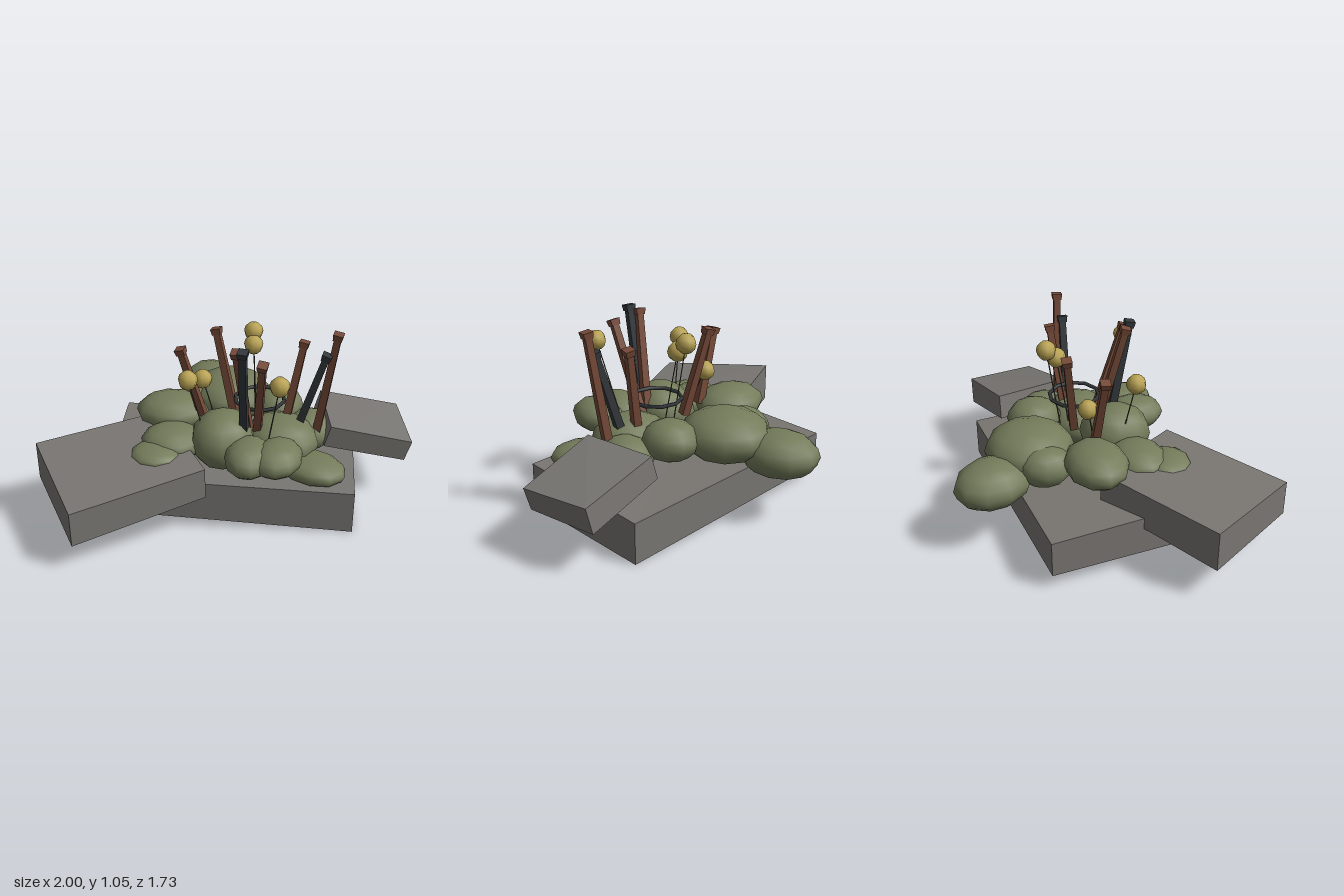
import * as THREE from 'three';

const mat = (name, color) => {
  const m = new THREE.MeshStandardMaterial({ color });
  m.name = name;
  return m;
};

export function createModel() {
  const group = new THREE.Group();
  const stone = mat('stone grey', 0x797672);
  const moss = mat('moss green', 0x747c5b);
  const rust = mat('rusty brown', 0x754a38);
  const iron = mat('dark iron', 0x33383b);
  const yellow = mat('flower yellow', 0xb9a353);
  const stalk = mat('stem green', 0x4a4f38);

  const add = (name, geo, material, parent = group) => {
    const m = new THREE.Mesh(geo, material);
    m.name = name;
    parent.add(m);
    return m;
  };
  const V = (p) => new THREE.Vector3(...p);
  // Stand an object that runs along +y between two points
  const aim = (obj, from, to) => {
    obj.position.copy(V(from));
    obj.quaternion.setFromUnitVectors(new THREE.Vector3(0, 1, 0), V(to).sub(V(from)).normalize());
  };

  // Rough slabs: a box whose corners move to [x, z, bottom y, top y]
  // in the order back left, back right, front right, front left
  const slab = (name, corners, bottomShiftX = 0) => {
    const geo = new THREE.BoxGeometry(1, 1, 1).toNonIndexed();
    const p = geo.attributes.position;
    for (let i = 0; i < p.count; i++) {
      const right = p.getX(i) > 0, top = p.getY(i) > 0, front = p.getZ(i) > 0;
      const c = corners[front ? (right ? 2 : 3) : (right ? 1 : 0)];
      p.setXYZ(i, c[0] + (top ? 0 : bottomShiftX), top ? c[3] : c[2], c[1]);
    }
    geo.computeVertexNormals();
    add(name, geo, stone);
  };
  slab('baseSlab', [[-0.76, -0.43, 0.08, 0.28], [0.6, -0.7, 0, 0.225], [0.755, 0.12, 0, 0.25], [-0.58, 0.4, 0.07, 0.295]]);
  slab('frontSlab', [[-0.43, -0.12, 0.25, 0.445], [-0.02, 0.34, 0.23, 0.41], [-0.58, 0.85, 0.16, 0.36], [-1, 0.35, 0.185, 0.41]]);
  slab('sideSlab', [[0.42, -0.56, 0.35, 0.48], [0.86, -0.7, 0.235, 0.38], [1, -0.32, 0.235, 0.36], [0.56, -0.16, 0.35, 0.48]], -0.035);

  // Moss mounds: x, y, z, radii x, y, z, turn
  const mounds = [
    [-0.29, 0.365, -0.67, 0.18, 0.125, 0.22, 0.5],
    [-0.1, 0.44, -0.45, 0.24, 0.14, 0.245, 0.3],
    [-0.27, 0.42, -0.39, 0.13, 0.11, 0.15, 0],
    [0.2, 0.45, -0.385, 0.15, 0.11, 0.155, 0.2],
    [0.41, 0.37, -0.29, 0.14, 0.11, 0.16, 0],
    [-0.36, 0.46, -0.13, 0.21, 0.105, 0.17, 0.2],
    [-0.28, 0.41, 0.11, 0.18, 0.09, 0.16, 0.3],
    [-0.33, 0.4, 0.26, 0.14, 0.055, 0.13, 0],
    [-0.01, 0.43, 0.04, 0.18, 0.165, 0.2, 0],
    [0.18, 0.43, 0.19, 0.135, 0.095, 0.17, 0.1],
    [0.33, 0.435, 0.16, 0.135, 0.09, 0.17, -0.1],
    [0.49, 0.295, -0.01, 0.2, 0.075, 0.145, -0.3],
    [0.28, 0.38, -0.12, 0.22, 0.14, 0.2, 0]
  ];
  const moundGeo = new THREE.SphereGeometry(1, 10, 8);
  const mossBed = new THREE.Group();
  mossBed.name = 'mossBed';
  group.add(mossBed);
  for (const [x, y, z, rx, ry, rz, turn] of mounds) {
    const m = add('mossMound', moundGeo, moss, mossBed);
    m.position.set(x, y, z);
    m.scale.set(rx, ry, rz);
    m.rotation.y = turn;
  }

  // Square spikes with a flared head
  const spike = (name, material, foot, tip) => {
    const g = new THREE.Group();
    g.name = name;
    const len = V(foot).distanceTo(V(tip));
    const part = (n, rTop, rBottom, h, y) => {
      const geo = new THREE.CylinderGeometry(rTop, rBottom, h, 4).toNonIndexed();
      geo.computeVertexNormals();
      geo.rotateY(Math.PI / 4);
      geo.translate(0, y, 0);
      add(n, geo, material, g);
    };
    part('shaft', 0.026, 0.032, len - 0.02, len / 2 - 0.01);
    part('head', 0.039, 0.034, 0.035, len - 0.0175);
    aim(g, foot, tip);
    group.add(g);
  };
  [
    [[-0.17, 0.48, -0.1], [-0.285, 0.895, -0.065]],
    [[-0.01, 0.48, -0.19], [-0.13, 0.96, -0.24]],
    [[0.16, 0.42, -0.06], [0.235, 0.97, 0.14]],
    [[0.13, 0.36, -0.05], [0.085, 1.015, 0.12]],
    [[0.29, 0.45, -0.2], [0.37, 0.935, -0.26]],
    [[0.47, 0.42, -0.21], [0.565, 1.04, -0.185]]
  ].forEach(([foot, tip]) => spike('rustySpike', rust, foot, tip));
  [
    [[0.11, 0.42, 0.03], [0.13, 1.035, 0.15]],
    [[0.36, 0.42, -0.17], [0.515, 0.92, -0.165]]
  ].forEach(([foot, tip]) => spike('ironSpike', iron, foot, tip));

  // Iron ring lying among the spikes
  const ring = add('ironRing', new THREE.TorusGeometry(0.14, 0.011, 5, 10), iron);
  ring.rotation.x = Math.PI / 2;
  ring.position.set(0.148, 0.6, -0.16);

  // Round flowers on thin stems
  const ball = new THREE.SphereGeometry(0.055, 7, 6);
  [
    [[-0.18, 0.81, 0.12], [-0.11, 0.45, 0.06]],
    [[-0.18, 0.685, -0.14], [-0.1, 0.48, -0.1]],
    [[0.33, 0.865, 0.155], [0.25, 0.45, 0.05]],
    [[0.065, 0.93, -0.32], [0.1, 0.45, -0.25]],
    [[0.08, 0.875, -0.265], [0.12, 0.45, -0.2]]
  ].forEach(([top, foot]) => {
    add('flower', ball, yellow).position.set(...top);
    const len = V(top).distanceTo(V(foot));
    const geo = new THREE.CylinderGeometry(0.003, 0.004, len, 4);
    geo.translate(0, len / 2, 0);
    aim(add('stem', geo, stalk), foot, top);
  });

  return group;
}
